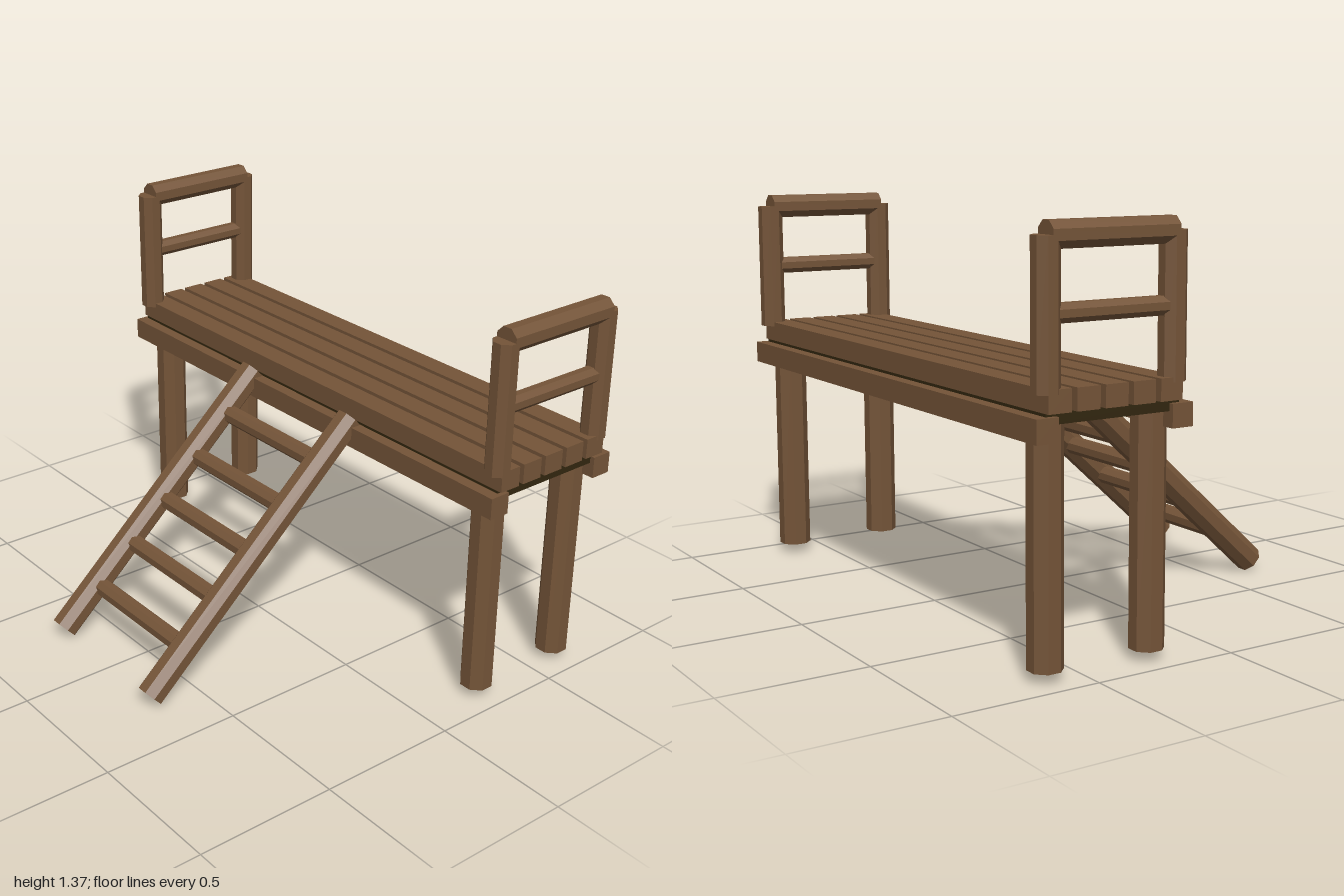
import * as THREE from 'three';

export function createModel() {
  const model = new THREE.Group();
  const wood = new THREE.MeshStandardMaterial({ color: 0x745438, flatShading: true });
  wood.name = 'brown wood';
  const darkWood = new THREE.MeshStandardMaterial({ color: 0x32260f, flatShading: true });
  darkWood.name = 'dark wood';

  function box(name, w, h, d, x, y, z, material = wood) {
    const mesh = new THREE.Mesh(new THREE.BoxGeometry(w, h, d), material);
    mesh.name = name;
    mesh.position.set(x, y, z);
    model.add(mesh);
  }

  // Octagonal log between two points, given its half width across the flats
  function log(name, a, b, half) {
    const from = new THREE.Vector3(...a);
    const to = new THREE.Vector3(...b);
    const r = half / Math.cos(Math.PI / 8);
    const geo = new THREE.CylinderGeometry(r, r, from.distanceTo(to), 8);
    geo.rotateY(Math.PI / 8);
    const mesh = new THREE.Mesh(geo, wood);
    mesh.name = name;
    mesh.position.copy(from).add(to).multiplyScalar(0.5);
    mesh.quaternion.setFromUnitVectors(new THREE.Vector3(0, 1, 0), to.sub(from).normalize());
    model.add(mesh);
  }

  const midZ = -0.435;

  // Deck planks over a dark base board
  for (let i = -2; i <= 2; i++) box('deckPlank', 1.984, 0.07, 0.08, 0, 0.86, midZ + i * 0.099);
  box('deckBase', 1.95, 0.034, 0.474, 0, 0.808, midZ, darkWood);

  // Long beams along the front and back
  for (const s of [-1, 1]) box('sideBeam', 1.984, 0.075, 0.076, 0, 0.778, midZ + s * 0.24);

  // Legs, end posts and guard rails
  for (const sx of [-1, 1]) {
    for (const sz of [-1, 1]) {
      const legZ = midZ + sz * 0.186;
      log('leg', [sx * 0.892, 0.04, legZ], [sx * 0.892, 0.8, legZ], 0.053);
      const postZ = midZ + sz * 0.224;
      log('railPost', [sx * 0.955, 0.88, postZ], [sx * 0.955, 1.33, postZ], 0.041);
    }
    log('topRail', [sx * 0.955, 1.33, midZ - 0.223], [sx * 0.955, 1.33, midZ + 0.223], 0.041);
    log('middleRail', [sx * 0.955, 1.107, midZ - 0.21], [sx * 0.955, 1.107, midZ + 0.21], 0.029);
  }

  // Slanted ladder
  for (const s of [-1, 1]) log('ladderRail', [s * 0.273, 0.04, 0.68], [s * 0.273, 0.827, -0.187], 0.046);
  for (let i = 0; i < 5; i++) {
    const y = 0.172 + i * 0.1315;
    const z = 0.53 - i * 0.1455;
    log('ladderRung', [-0.26, y, z], [0.26, y, z], 0.031);
  }
  return model;
}
